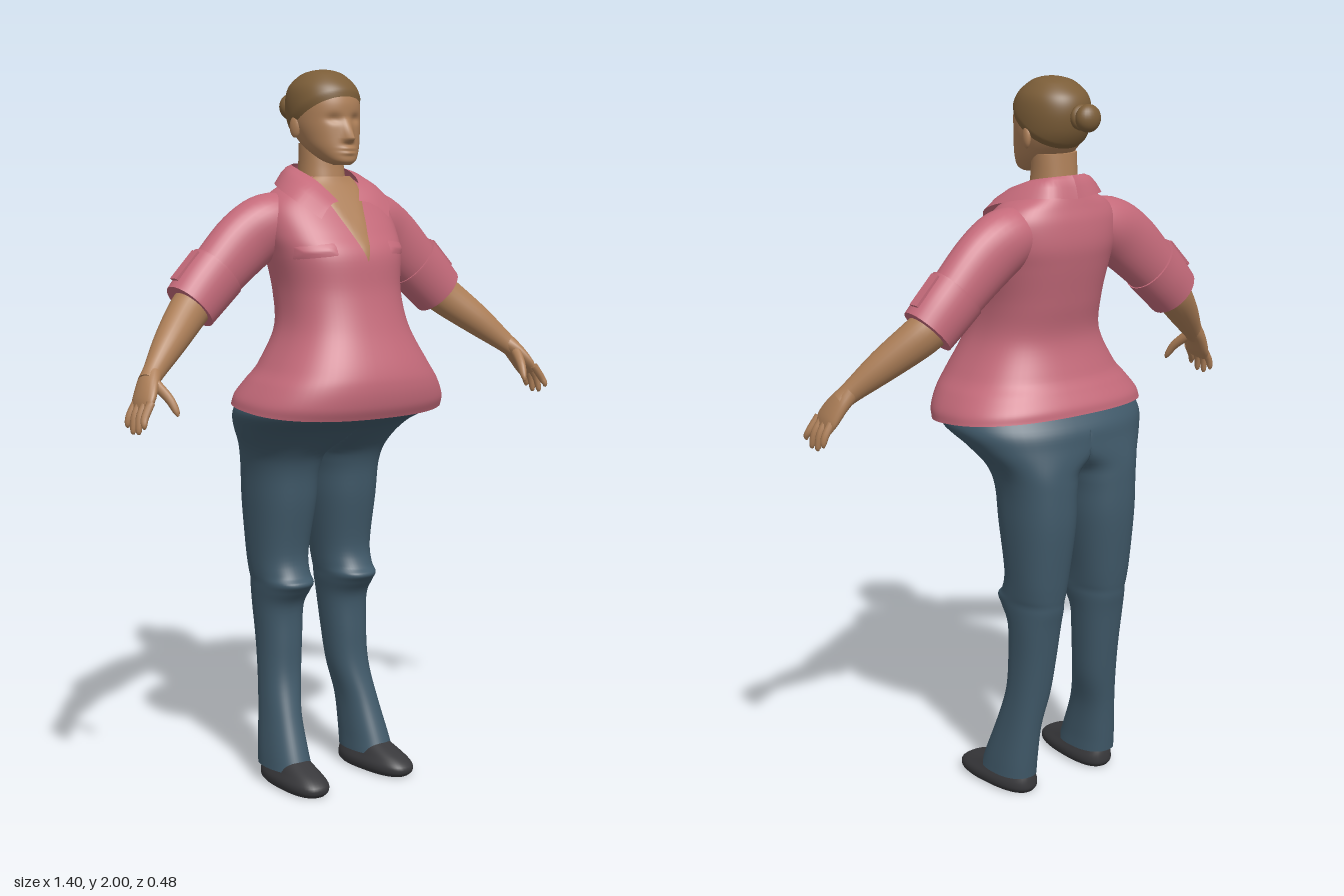
import * as THREE from 'three';

const mat = (name, color, side = THREE.FrontSide) => {
  const m = new THREE.MeshStandardMaterial({ color, side });
  m.name = name;
  return m;
};
const V = (x, y, z) => new THREE.Vector3(x, y, z);
const clamp = THREE.MathUtils.clamp;
const bell = (v, w) => Math.exp(-((v / w) ** 2));

// Skin over a list of closed rings; caps get their own vertices so the rim stays crisp.
function skinRings(rings, caps) {
  const n = rings[0].length, pos = [], idx = [];
  rings.forEach(r => r.forEach(p => pos.push(p.x, p.y, p.z)));
  for (let j = 0; j < rings.length - 1; j++) for (let i = 0; i < n; i++) {
    const a = j * n + i, b = j * n + (i + 1) % n;
    idx.push(a, b, a + n, b, b + n, a + n);
  }
  if (caps) [rings[0], rings[rings.length - 1]].forEach((r, end) => {
    const base = pos.length / 3, c = V(0, 0, 0);
    r.forEach(p => { pos.push(p.x, p.y, p.z); c.addScaledVector(p, 1 / n); });
    pos.push(c.x, c.y, c.z);
    for (let i = 0; i < n; i++) {
      const a = base + i, b = base + (i + 1) % n;
      end ? idx.push(a, b, base + n) : idx.push(b, a, base + n);
    }
  });
  const g = new THREE.BufferGeometry();
  g.setAttribute('position', new THREE.Float32BufferAttribute(pos, 3));
  g.setIndex(idx);
  g.computeVertexNormals();
  return g;
}

// Upright loft; rows are [y, xMin, xMax, zFront, zBack], bottom to top.
function loft(rows, { segs = 48, steps = 48, exp = 2.2, rule = null, caps = true, from = 0 } = {}) {
  const A = new THREE.CatmullRomCurve3(rows.map(r => V(r[1], r[0], r[3])), false, 'catmullrom');
  const B = new THREE.CatmullRomCurve3(rows.map(r => V(r[2], r[0], r[4])), false, 'catmullrom');
  const f = v => Math.sign(v) * Math.abs(v) ** (2 / exp);
  const rings = [];
  for (let j = 0; j <= steps; j++) {
    const t = from + (1 - from) * j / steps, a = A.getPoint(t), b = B.getPoint(t), ring = [];
    for (let i = 0; i < segs; i++) {
      const w = (i / segs) * Math.PI * 2;
      const p = V((a.x + b.x) / 2 + f(Math.cos(w)) * (b.x - a.x) / 2, a.y,
        (a.z + b.z) / 2 - f(Math.sin(w)) * (a.z - b.z) / 2);
      if (rule) rule(p);
      ring.push(p);
    }
    rings.push(ring);
  }
  return skinRings(rings, caps);
}

// Limb along a path; stations are [x, y, z, radius in the xy plane, radius in depth].
function limb(st, segs = 24, steps = 20) {
  const C = new THREE.CatmullRomCurve3(st.map(s => V(s[0], s[1], s[2])), false, 'catmullrom');
  const R = new THREE.CatmullRomCurve3(st.map(s => V(s[3], s[4], 0)), false, 'catmullrom');
  const rings = [];
  for (let j = 0; j <= steps; j++) {
    const t = j / steps, c = C.getPoint(t), r = R.getPoint(t), T = C.getTangent(t);
    const side = V(0, 0, 1).cross(T).normalize(), up = T.clone().cross(side);
    rings.push(Array.from({ length: segs }, (_, i) => {
      const w = (i / segs) * Math.PI * 2;
      return c.clone().addScaledVector(side, Math.cos(w) * r.x).addScaledVector(up, Math.sin(w) * r.y);
    }));
  }
  return skinRings(rings, true);
}

function mirrored(g) {
  const m = g.clone().scale(-1, 1, 1), ix = m.index;
  for (let i = 0; i < ix.count; i += 3) {
    const a = ix.getX(i);
    ix.setX(i, ix.getX(i + 1));
    ix.setX(i + 1, a);
  }
  m.computeVertexNormals();
  return m;
}

const sym = rows => rows.map(([y, w, f, b]) => [y, -w, w, f, b]);

const TORSO = sym([[1.065, .31, .22, -.205], [1.1, .303, .235, -.2], [1.15, .275, .24, -.18], [1.2, .24, .23, -.16],
  [1.3, .186, .19, -.133], [1.4, .175, .162, -.15], [1.5, .19, .148, -.17], [1.56, .2, .11, -.178],
  [1.62, .195, .065, -.172], [1.66, .165, .035, -.16], [1.69, .11, .012, -.15], [1.71, .078, 0, -.142]]);

const HEAD = sym([[1.742, .022, .055, .005], [1.755, .045, .065, -.035], [1.785, .069, .062, -.09], [1.82, .083, .058, -.13],
  [1.86, .092, .054, -.155], [1.91, .093, .052, -.165], [1.95, .083, .035, -.155], [1.98, .056, 0, -.12],
  [1.991, .03, -.025, -.09], [1.995, .006, -.05, -.062]]);

const LEG = [[.05, .085, .205, .05, -.14], [.1, .087, .2, .03, -.145], [.2, .085, .187, -.01, -.155], [.3, .065, .178, -.04, -.17],
  [.4, .055, .176, -.046, -.185], [.5, .047, .18, -.045, -.2], [.55, .04, .183, -.014, -.21], [.575, .038, .184, .003, -.213],
  [.6, .036, .186, -.02, -.217], [.66, .03, .19, -.034, -.225], [.8, .012, .2, -.012, -.24], [.9, .004, .206, 0, -.24],
  [.96, -.03, .222, .03, -.236], [1.02, -.2, .265, .1, -.23], [1.07, -.295, .295, .2, -.222], [1.12, -.28, .28, .2, -.185]];

// Nose, eye sockets and lips pressed into the front of the head
function faceRule(p) {
  if (p.z < 0) return;
  const nose = p.y > 1.812 ? clamp((1.87 - p.y) / .058, 0, 1) : clamp((p.y - 1.799) / .013, 0, 1);
  p.z += .029 * bell(p.x, .014) * nose
    - .009 * bell(Math.abs(p.x) - .035, .019) * bell(p.y - 1.866, .012)
    + .006 * bell(p.x, .022) * (bell(p.y - 1.786, .005) + bell(p.y - 1.774, .005));
}

// Moves a point out where inside > 0 and under the surface elsewhere
function raise(p, centre, inside, height) {
  p.addScaledVector(p.clone().sub(centre).normalize(), clamp(inside * .25, -.014, height));
}

export function createModel() {
  const model = new THREE.Group();
  model.name = 'woman';
  const skin = mat('skin', 0xad7f58), hair = mat('hair', 0x7b5d38), trousers = mat('trouser blue', 0x405969);
  const shirt = mat('shirt pink', 0xc46a7a, THREE.DoubleSide), shoeMat = mat('shoe black', 0x38383b);
  const add = (name, g, m) => {
    const mesh = new THREE.Mesh(g, m);
    mesh.name = name;
    model.add(mesh);
    return mesh;
  };
  const pair = (name, g, m) => {
    add('left ' + name, g, m);
    add('right ' + name, mirrored(g), m);
  };

  // Head, hair and neck
  add('head', loft(HEAD, { segs: 80, steps: 90, exp: 2.1, rule: faceRule }), skin);
  const skull = V(0, 1.87, -.05);
  add('hair', loft(HEAD, { segs: 80, steps: 90, exp: 2.1, rule: p => {
    const inside = p.y - 1.895 - .65 * p.z;
    faceRule(p);
    raise(p, skull, inside, .005);
  } }), hair);
  add('hair bun', new THREE.SphereGeometry(.037, 24, 16).scale(1, 1, .76).translate(0, 1.9, -.206), hair);
  add('bun wrap', new THREE.TorusGeometry(.022, .012, 12, 24).translate(0, 1.9, -.178), hair);
  pair('ear', new THREE.SphereGeometry(.03, 16, 12).scale(.35, 1, .6).rotateY(-.3).translate(.09, 1.845, -.062), skin);
  add('neck', loft(sym([[1.6, .08, -.005, -.14], [1.68, .068, 0, -.13], [1.74, .063, -.008, -.125], [1.8, .063, -.015, -.12]])), skin);

  // Shirt body with a hem that rises toward the back
  add('shirt body', loft(TORSO, { segs: 64, steps: 70, exp: 2.4, caps: false, rule: p => {
    if (p.y < 1.2) p.y += (1.2 - p.y) / .135 * .02 * (1 - p.z / .22);
  } }), shirt);

  // Open neckline and pocket flaps follow the same chest surface
  const chest = (name, m, height, inside) => add(name, loft(TORSO, { segs: 128, steps: 90, exp: 2.4, caps: false, from: .5,
    rule: p => raise(p, V(0, p.y, -.03), p.z < -.02 ? -1 : inside(p), height) }), m);
  chest('open neckline', skin, .003, p => (p.y - 1.485) * .36 - Math.abs(p.x));
  chest('pocket flaps', shirt, .004, p => Math.min(.045 - Math.abs(Math.abs(p.x) - .135),
    .016 - Math.abs(p.y - 1.515 - .12 * (.135 - Math.abs(p.x)))));

  // Turned-down collar between two rails
  const rails = [[[0, 1.745, -.142], [.06, 1.742, -.122], [.08, 1.73, -.065], [.07, 1.7, .008], [.035, 1.645, .062]],
    [[0, 1.685, -.168], [.09, 1.692, -.152], [.145, 1.682, -.07], [.16, 1.65, .03], [.115, 1.6, .092]]]
    .map(r => new THREE.CatmullRomCurve3(r.map(p => V(...p))));
  const collar = new THREE.PlaneGeometry(1, 1, 24, 3), cp = collar.attributes.position;
  for (let i = 0; i < cp.count; i++) {
    const u = cp.getX(i) + .5, v = .5 - cp.getY(i);
    const p = rails[0].getPoint(u).lerp(rails[1].getPoint(u), v);
    p.y += .012 * Math.sin(v * Math.PI);
    cp.setXYZ(i, p.x, p.y, p.z);
  }
  collar.computeVertexNormals();
  pair('collar', collar, shirt);

  // Sleeves with rolled cuffs and button tabs
  pair('sleeve', limb([[.08, 1.6, -.07, .06, .07], [.17, 1.583, -.075, .085, .077], [.25, 1.535, -.08, .09, .067],
    [.34, 1.455, -.08, .081, .063], [.38, 1.415, -.08, .076, .062]], 32), shirt);
  pair('cuff', limb([[.338, 1.46, -.08, .087, .069], [.385, 1.415, -.078, .084, .069], [.43, 1.37, -.075, .079, .068]], 32), shirt);
  pair('sleeve tab', new THREE.BoxGeometry(.1, .008, .03).rotateZ(-.8).translate(.44, 1.48, -.08), shirt);

  // Forearms and hands
  pair('forearm', limb([[.38, 1.41, -.08, .055, .05], [.44, 1.36, -.065, .056, .05], [.53, 1.285, -.018, .045, .042],
    [.605, 1.218, .023, .03, .028], [.63, 1.195, .036, .026, .03]]), skin);
  pair('palm', limb([[.605, 1.222, .02, .026, .026], [.632, 1.19, .038, .023, .038], [.655, 1.152, .055, .019, .045],
    [.668, 1.125, .063, .012, .04]]), skin);
  [1.085, 1.068, 1.066, 1.08].forEach((y, i) => {
    const z0 = .096 - i * .022, z1 = .112 - i * .027;
    pair('finger ' + (i + 1), limb([[.66, 1.148, z0, .011, .012], [.683, 1.113, (z0 + z1) / 2, .01, .011],
      [.69, y + .01, z1, .008, .008], [.689, y, z1, .003, .003]], 10, 10), skin);
  });
  pair('thumb', limb([[.622, 1.19, .06, .014, .016], [.607, 1.155, .1, .012, .013], [.599, 1.125, .12, .009, .009],
    [.597, 1.112, .126, .003, .003]], 12, 10), skin);

  // Trousers: each half spans from the waist, cut at the centre line, down to the ankle
  pair('trouser leg', loft(LEG, { segs: 56, steps: 75, exp: 2.3, rule: p => { p.x = Math.max(p.x, 0); } }), trousers);

  // Shoes
  pair('shoe', loft(sym([[0, .05, .128, -.13], [.012, .06, .14, -.138], [.03, .061, .138, -.138], [.05, .052, .11, -.134],
    [.07, .044, .06, -.125], [.085, .035, .02, -.11]]), { steps: 20, exp: 2.5 }).rotateY(.06).translate(.145, 0, 0), shoeMat);

  return model;
}
